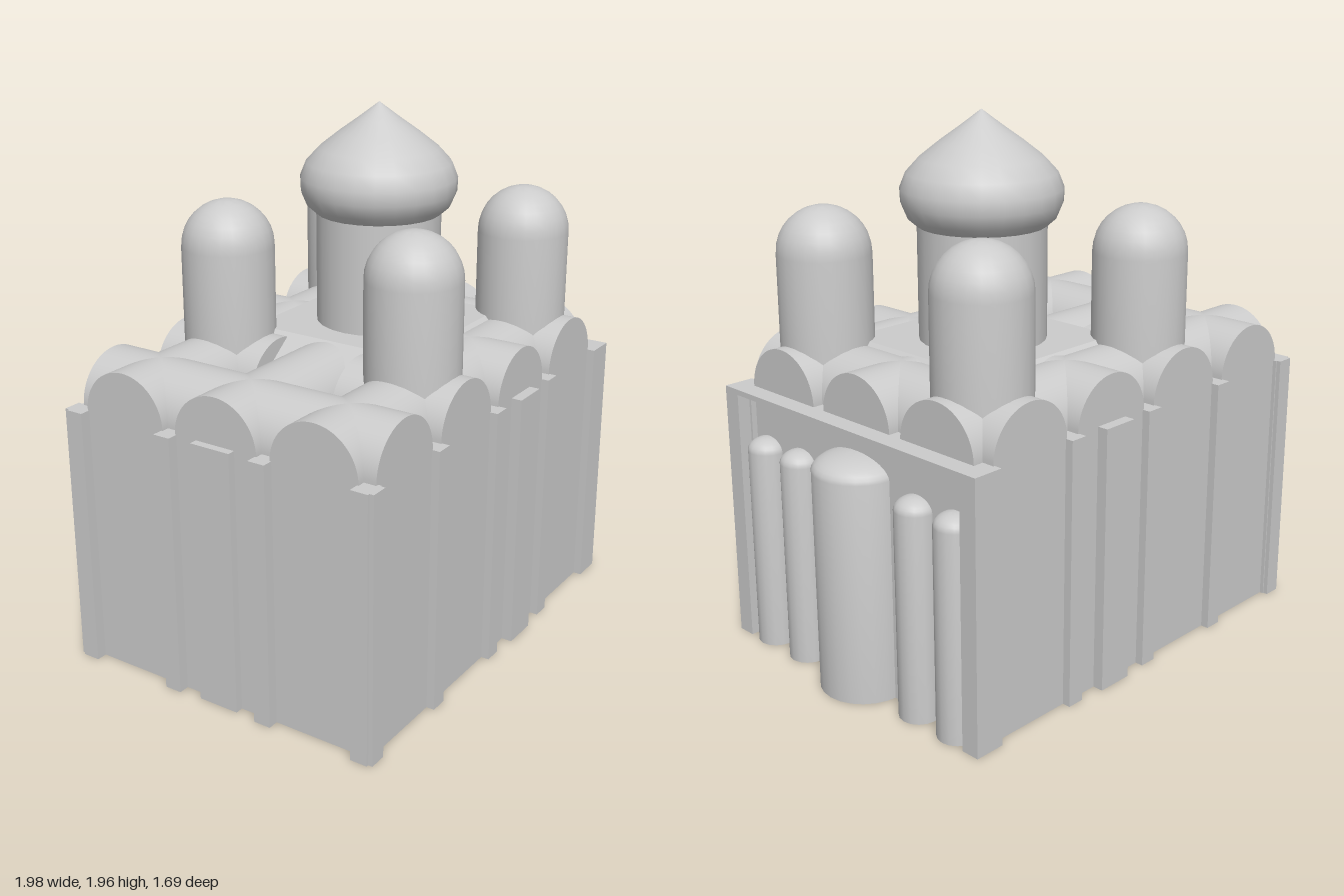
import * as THREE from 'three';
import { toCreasedNormals } from 'three/addons/utils/BufferGeometryUtils.js';

const MAT = new THREE.MeshStandardMaterial({ color: 0xcccccc, side: THREE.DoubleSide });
const WALL = 0.975;              // wall height, springing of the vaults
const BAY = 0.394;               // bay spacing
const CX = 0.177;                // centre of the domes along the length
const LEFT = -0.81, RIGHT = 0.78, DEPTH = 0.61; // outer wall planes

export function createModel() {
  const model = new THREE.Group();
  model.name = 'domedChurch';
  const church = new THREE.Group();
  church.name = 'church';
  church.rotation.y = THREE.MathUtils.degToRad(15.5);
  model.add(church);

  const add = (name, geometry, x = 0, y = 0, z = 0) => {
    const mesh = new THREE.Mesh(geometry, MAT);
    mesh.name = name;
    mesh.position.set(x, y, z);
    church.add(mesh);
    return mesh;
  };
  // box given by its limits
  const box = (name, x0, x1, y0, y1, z0, z1) =>
    add(name, new THREE.BoxGeometry(x1 - x0, y1 - y0, z1 - z0), (x0 + x1) / 2, (y0 + y1) / 2, (z0 + z1) / 2);
  // turned part from [radius, height] pairs
  const lathe = (name, profile, x, z, sides = 24) =>
    add(name, toCreasedNormals(new THREE.LatheGeometry(profile.map(p => new THREE.Vector2(...p)), sides), 0.7), x, 0, z);
  // cylinder with a domed top, as profile points
  const domed = (r, y0, y1, rise) => {
    const points = [[0, y0], [r, y0]];
    for (let i = 0; i <= 8; i++) {
      const a = (i / 8) * Math.PI / 2;
      points.push([i === 8 ? 0 : r * Math.cos(a), y1 + rise * Math.sin(a)]);
    }
    return points;
  };

  // outer walls and roof slab, open underneath
  const T = 0.03;
  for (const s of [-1, 1]) {
    const a = s * DEPTH, b = s * (DEPTH - T);
    box('longWall', LEFT, RIGHT, 0, WALL, Math.min(a, b), Math.max(a, b));
  }
  box('leftWall', LEFT, LEFT + T, 0, WALL, -DEPTH, DEPTH);
  box('rightWall', RIGHT - T, RIGHT, 0, WALL, -DEPTH, DEPTH);
  box('roofSlab', LEFT, 0.85, WALL - 0.02, WALL, -DEPTH, DEPTH);

  // barrel vaults
  const R = 0.17;
  const arch = new THREE.Shape();
  arch.absarc(0, 0, R, 0, Math.PI, false);
  arch.closePath();
  const vault = (name, length) =>
    toCreasedNormals(new THREE.ExtrudeGeometry(arch, { depth: length, bevelEnabled: false, curveSegments: 20 }), 0.6);
  for (const z of [-BAY, 0, BAY]) {
    add('longVault', vault('longVault', RIGHT - LEFT), LEFT, WALL, z).rotation.y = Math.PI / 2;
  }
  for (let i = -2; i <= 1; i++) {
    const x = CX + i * BAY;
    if (i === -1) {
      // this vault stops short of the middle
      add('crossVault', vault('crossVault', DEPTH - 0.17), x, WALL, 0.17);
      add('crossVault', vault('crossVault', DEPTH - 0.17), x, WALL, -DEPTH);
    } else {
      add('crossVault', vault('crossVault', 2 * DEPTH), x, WALL, -DEPTH);
    }
  }

  // sloped plinth under the drum
  const plinth = new THREE.CylinderGeometry(0.33 * Math.SQRT2, 0.56 * Math.SQRT2, 0.175, 4, 1);
  plinth.rotateY(Math.PI / 4);
  add('drumPlinth', toCreasedNormals(plinth, 0.3), CX, WALL + 0.0875, 0);

  // pilasters along the long and the left walls
  const W = 0.033;
  for (const s of [-1, 1]) {
    for (let i = -2; i <= 2; i++) {
      const x = CX + (i - 0.5) * BAY;
      const a = s * 0.56, b = s * 0.64;
      box('pilaster', x - W, x + W, 0, WALL, Math.min(a, b), Math.max(a, b));
    }
    // corner posts of the right wall
    const c = s * 0.57, d = s * 0.64;
    box('cornerPost', 0.775, 0.85, 0, WALL, Math.min(c, d), Math.max(c, d));
    // flat porch in the bay below the drum
    const e = s * 0.58, f = s * 0.65;
    box('porch', CX - 0.07, CX + 0.07, 0, WALL, Math.min(e, f), Math.max(e, f));
  }
  for (let i = -1; i <= 2; i++) {
    const z = (i - 0.5) * BAY;
    box('leftPilaster', -0.85, -0.77, 0, WALL, z - W, z + W);
  }
  box('leftPorch', -0.84, -0.79, 0, WALL, -0.08, 0.08);

  // rounded apses on the right wall
  lathe('mainApse', domed(0.165, 0, 0.81, 0.065), 0.77, 0);
  for (const z of [-0.487, -0.3, 0.3, 0.487]) {
    lathe('sideApse', domed(0.073, 0, 0.755, 0.048), 0.79, z, 16);
  }

  // four corner towers with round caps
  for (const sx of [-1, 1]) for (const sz of [-1, 1]) {
    lathe('cornerTower', domed(0.17, 0.98, 1.46, 0.17), CX + sx * BAY, sz * BAY);
  }

  // central drum with its onion dome
  add('drum', new THREE.CylinderGeometry(0.23, 0.23, 0.56, 24), CX, 1.28, 0);
  lathe('onionDome', [[0, 1.555], [0.225, 1.555], [0.265, 1.59], [0.286, 1.64], [0.288, 1.69], [0.266, 1.745],
    [0.22, 1.795], [0.15, 1.85], [0.08, 1.9], [0, 1.96]], CX, 0);

  return model;
}
